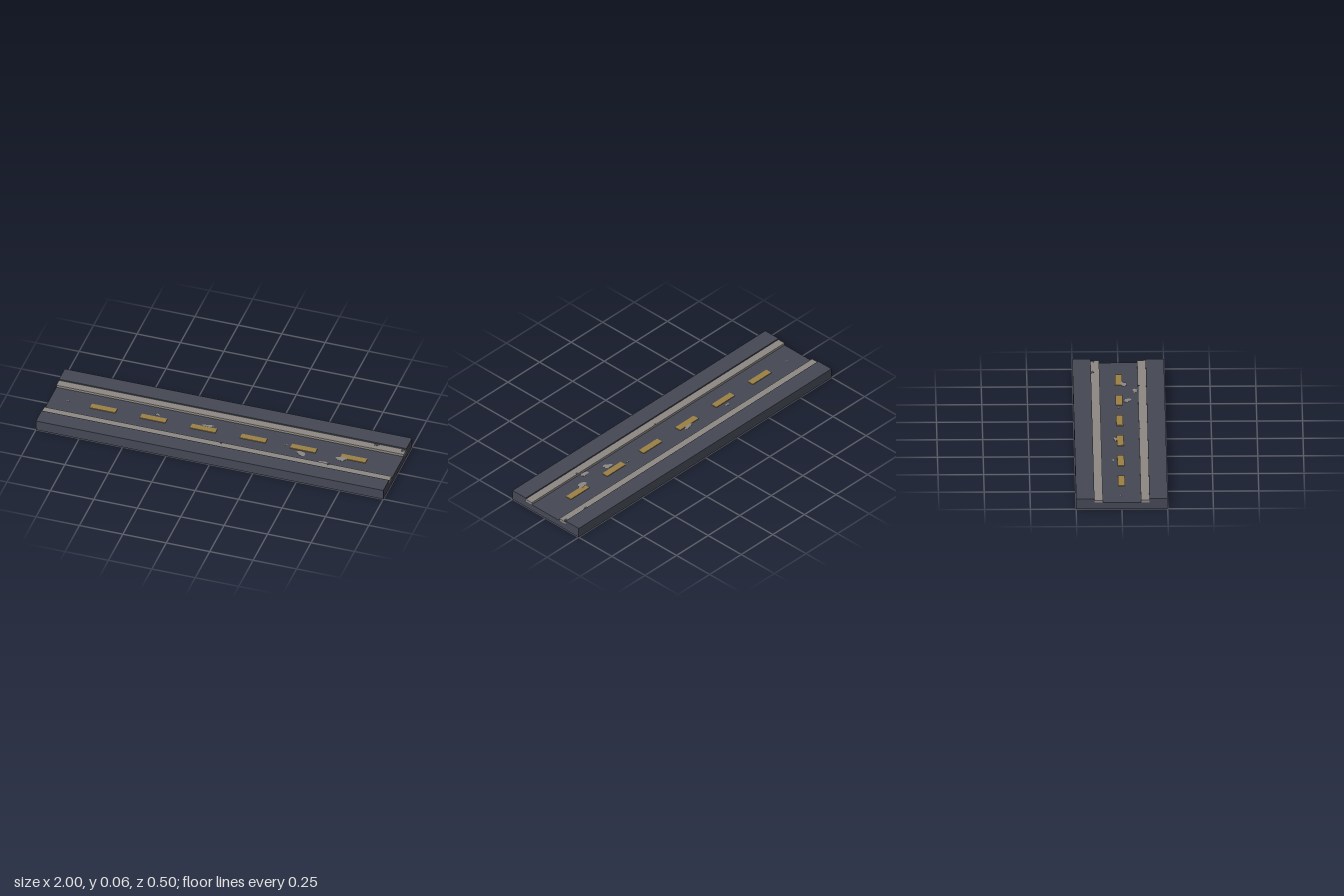
import * as THREE from 'three';

export function createModel() {
  const road = new THREE.Group();
  road.name = 'roadSection';

  const mat = (name, color) => {
    const m = new THREE.MeshStandardMaterial({ color });
    m.name = name;
    return m;
  };
  const asphalt = mat('asphalt', 0x454955);
  const concrete = mat('concrete', 0x8e8984);
  const paint = mat('yellowPaint', 0x9c8145);

  const add = (name, geometry, material) => {
    const mesh = new THREE.Mesh(geometry, material);
    mesh.name = name;
    road.add(mesh);
    return mesh;
  };

  const deckY = 0.038, curbY = 0.052, walkY = 0.06;

  // Slab with raised walkways, one stepped section swept along the length
  const section = new THREE.Shape([
    [-0.25, 0], [0.25, 0], [0.25, walkY], [0.15, walkY],
    [0.15, deckY], [-0.15, deckY], [-0.15, walkY], [-0.25, walkY],
  ].map(([z, y]) => new THREE.Vector2(z, y)));
  const slab = new THREE.ExtrudeGeometry(section, { depth: 2, bevelEnabled: false });
  slab.translate(0, 0, -1).rotateY(Math.PI / 2);
  add('slab', slab, asphalt);

  // Curbs on both sides of the lane
  for (const side of [-1, 1]) {
    const curb = add(side > 0 ? 'frontCurb' : 'backCurb',
      new THREE.BoxGeometry(2, curbY - deckY, 0.046), concrete);
    curb.position.set(0, (curbY + deckY) / 2, side * 0.127);
  }

  // Dashed centre line
  for (let i = 0; i < 6; i++) {
    const dash = add('centreDash', new THREE.BoxGeometry(0.146, 0.004, 0.038), paint);
    dash.position.set(-0.693 + i * 0.288, deckY + 0.002, 0);
  }

  // Irregular thin flakes: worn patches on the lane and chips on the curbs
  const patch = (name, x, y, z, rx, rz, turn, material) => {
    const outline = [];
    for (let i = 0; i < 14; i++) {
      const a = (i / 14) * Math.PI * 2;
      const r = 1 + 0.13 * Math.sin(3 * a + x * 9) + 0.08 * Math.cos(5 * a);
      outline.push(new THREE.Vector2(Math.cos(a) * r * rx, Math.sin(a) * r * rz));
    }
    const g = new THREE.ExtrudeGeometry(new THREE.Shape(outline), { depth: 0.001, bevelEnabled: false });
    g.rotateX(-Math.PI / 2).rotateY(turn);
    add(name, g, material).position.set(x, y, z);
  };
  const wornPatches = [
    [0.46, deckY, 0.046, 0.028, 0.016, -0.5],
    [0.60, deckY, 0.088, 0.026, 0.013, 0],
    [0.685, deckY + 0.0035, 0.026, 0.031, 0.018, 0.2],
    [-0.10, deckY + 0.0035, -0.028, 0.034, 0.009, 0.15],
    [-0.395, deckY, -0.042, 0.012, 0.007, 0],
    [0.355, deckY, -0.005, 0.009, 0.003, 0],
    [-0.9, deckY, -0.005, 0.008, 0.003, 0],
  ];
  const curbChips = [
    [0.832, curbY, -0.142, 0.016, 0.008, 0],
    [0.986, curbY, -0.14, 0.012, 0.012, 0],
    [0.64, curbY, 0.11, 0.01, 0.005, 0.6],
    [0.02, curbY, 0.11, 0.006, 0.004, 0],
  ];
  wornPatches.forEach((p) => patch('wornPatch', ...p, concrete));
  curbChips.forEach((p) => patch('curbChip', ...p, asphalt));

  return road;
}
